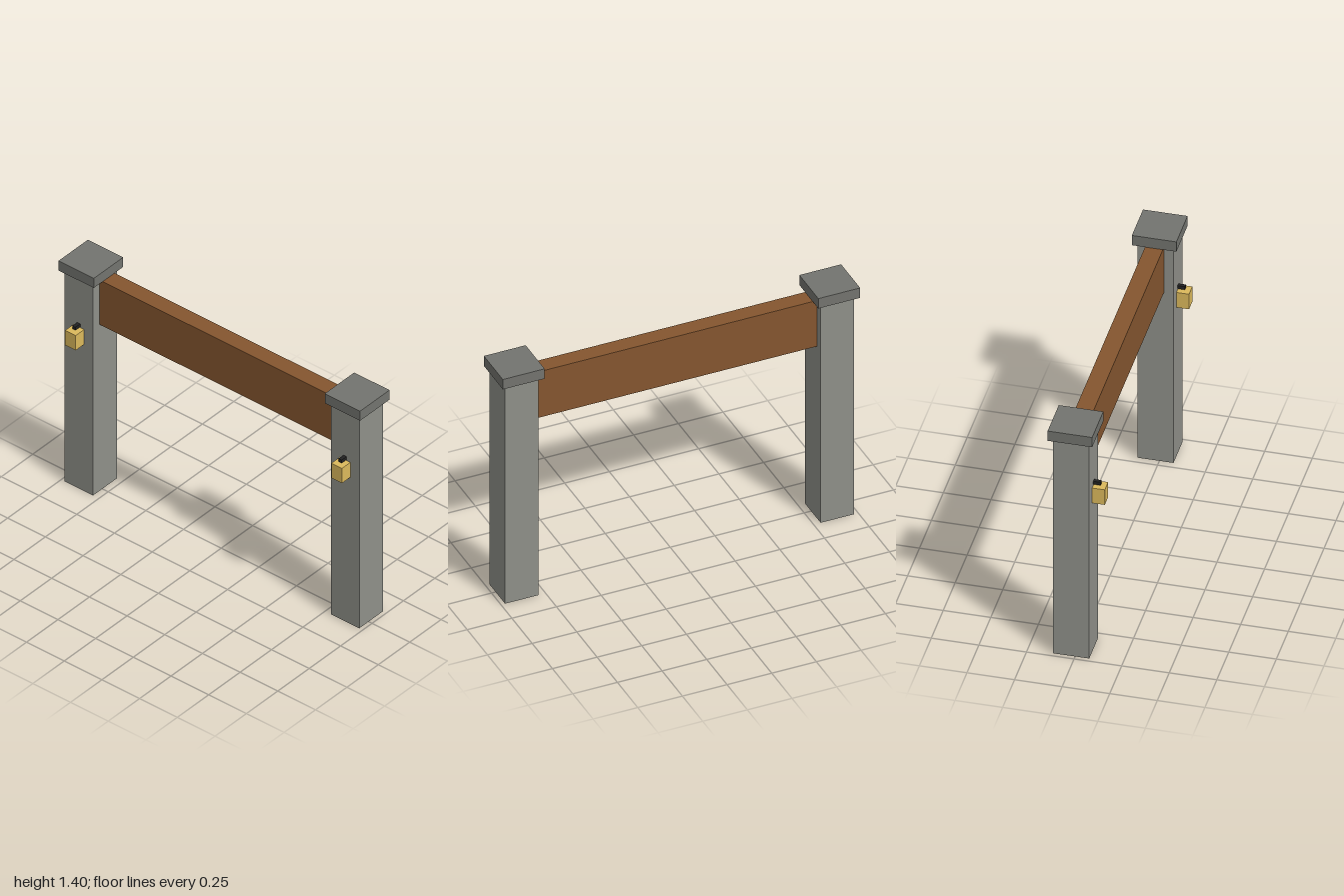
import * as THREE from 'three';

const material = (color) => new THREE.MeshStandardMaterial({ color, flatShading: true });

// Box given by its minimum and maximum corners
function box(name, mat, [x0, y0, z0], [x1, y1, z1]) {
  const mesh = new THREE.Mesh(new THREE.BoxGeometry(x1 - x0, y1 - y0, z1 - z0), mat);
  mesh.position.set((x0 + x1) / 2, (y0 + y1) / 2, (z0 + z1) / 2);
  mesh.name = name;
  return mesh;
}

export function createModel() {
  const stone = material(0x8f9089);
  const capStone = material(0x73746f);
  const wood = material(0x85562f);
  const iron = material(0x222222);
  const glow = material(0xdcb95c);

  const model = new THREE.Group();
  model.name = 'gateway';

  // Beam spanning between the posts
  model.add(box('beam', wood, [-0.79, 1.06, -0.07], [0.79, 1.343, 0.024]));

  for (const [side, sign] of [['left', 1], ['right', -1]]) {
    const post = new THREE.Group();
    post.name = `${side}Post`;
    post.position.set(sign * 0.883, 0, -0.022);

    // Square pillar with an overhanging cap
    post.add(box('pillar', stone, [-0.094, 0, -0.094], [0.094, 1.343, 0.096]));
    post.add(box('cap', capStone, [-0.117, 1.343, -0.117], [0.117, 1.404, 0.117]));

    // Lantern and its bracket on the front face
    post.add(box('lanternBracket', iron, [-0.01, 1.033, 0.09], [0.01, 1.052, 0.135]));
    post.add(box('lantern', glow, [-0.035, 0.933, 0.094], [0.035, 1.027, 0.163]));

    model.add(post);
  }
  return model;
}
